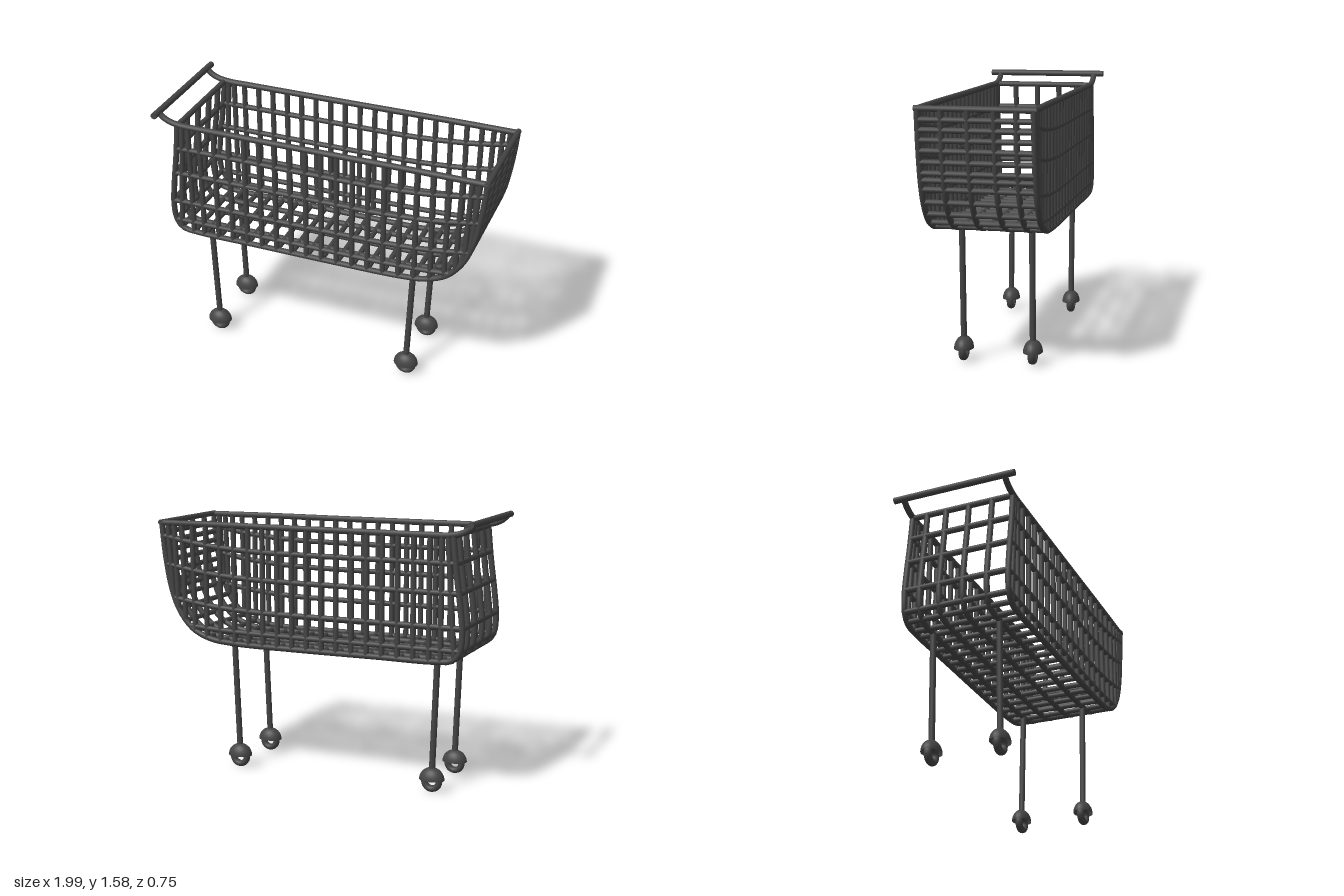
import * as THREE from 'three';

const metal = new THREE.MeshStandardMaterial({ color: 0x444444 });
const shell = new THREE.MeshStandardMaterial({ color: 0x444444, side: THREE.DoubleSide });
const R = 0.017;        // wire radius
const SIDE = 0.314;     // z of the two side panels
const RIM = 1.49;       // height of the top rail
const V = (x, y, z = 0) => new THREE.Vector3(x, y, z);

export function createModel() {
  const root = new THREE.Group();

  const group = (name) => {
    const g = new THREE.Group();
    g.name = name;
    root.add(g);
    return g;
  };

  // Straight rod between two points
  const rod = (parent, name, a, b, r = R) => {
    const dir = b.clone().sub(a);
    const m = new THREE.Mesh(new THREE.CylinderGeometry(r, r, dir.length(), 10), metal);
    m.name = name;
    m.position.copy(a).add(b).multiplyScalar(0.5);
    m.quaternion.setFromUnitVectors(V(0, 1), dir.normalize());
    parent.add(m);
  };

  // Bent wire through points, kept in the plane z, with closed ends
  const wire = (parent, name, pts, z, r = R, segments = 90) => {
    const curve = new THREE.CatmullRomCurve3(pts.map(([x, y]) => V(x, y, z)));
    const m = new THREE.Mesh(new THREE.TubeGeometry(curve, segments, r, 10), metal);
    m.name = name;
    parent.add(m);
    for (const t of [0, 1]) {
      const cap = new THREE.Mesh(new THREE.CircleGeometry(r, 10), metal);
      cap.name = name + 'Cap';
      cap.position.copy(curve.getPoint(t));
      const out = curve.getTangent(t).multiplyScalar(t ? 1 : -1);
      cap.quaternion.setFromUnitVectors(V(0, 0, 1), out);
      parent.add(cap);
    }
  };

  // Lengthwise outline of the basket: down the back, along the floor, up the front
  const outline = [
    [-0.865, RIM], [-0.885, 1.3], [-0.912, 1.1], [-0.925, 0.95], [-0.912, 0.85],
    [-0.87, 0.8], [-0.78, 0.787], [-0.4, 0.785], [0.1, 0.783], [0.5, 0.787],
    [0.66, 0.805], [0.78, 0.86], [0.87, 0.97], [0.92, 1.1], [0.95, 1.25], [0.967, 1.38], [0.977, RIM],
  ];
  const samples = new THREE.CatmullRomCurve3(outline.map(([x, y]) => V(x, y))).getSpacedPoints(600);
  const nearest = (list, f) => list.reduce((a, b) => (f(b) < f(a) ? b : a));
  const floorY = (x) => nearest(samples.filter((p) => p.x > 0 || p.y < 0.83), (p) => Math.abs(p.x - x)).y;
  const endX = (y, s) => nearest(samples.filter((p) => p.x * s > 0.6), (p) => Math.abs(p.y - y)).x;

  // Lengthwise wires: two frame edges and four inner wires
  const frame = group('basketFrame');
  for (const z of [-SIDE, SIDE]) wire(frame, 'sideEdge', outline, z, R);
  for (const z of [-0.22, -0.1, 0.043, 0.187]) wire(frame, 'lengthwiseWire', outline, z, R);

  // Top rails that sweep up to the handle
  const rails = group('topRails');
  const railPath = [[-0.982, 1.557], [-0.955, 1.53], [-0.91, 1.507], [-0.84, 1.494],
    [-0.7, 1.492], [0, RIM], [0.6, RIM], [0.982, 1.487]];
  for (const z of [-SIDE, SIDE]) wire(rails, 'sideRail', railPath, z, 0.018);
  const cross = (parent, name, x, y, r = R, half = SIDE) =>
    rod(parent, name, V(x, y, -half), V(x, y, half), r);
  cross(rails, 'frontRail', 0.977, RIM, R, 0.33);
  cross(rails, 'backRail', -0.865, RIM);
  cross(group('handle'), 'handleBar', -0.98, 1.557, 0.019, 0.375);

  // Upright ribs on both sides, each joined by a bar across the floor
  const ribs = group('sideRibs');
  const floor = group('floorBars');
  const ribList = [[-0.835, -0.88], [-0.8, -0.8]];           // [top x, bottom x]
  for (let i = -9; i <= 6; i++) ribList.push([0.115 + 0.094 * i, 0.115 + 0.094 * i]);
  ribList.push([0.77, 0.76], [0.84, 0.825], [0.893, 0.872], [0.937, 0.905]);
  for (const [top, low] of ribList) {
    const y = floorY(low);
    for (const z of [-SIDE, SIDE]) rod(ribs, 'rib', V(top, RIM, z), V(low, y, z), 0.016);
    cross(floor, 'floorBar', low, y, 0.016);
  }

  // Horizontal side wires that rise toward the front, and bars across the back
  const levels = group('sideLevels');
  const back = group('backBars');
  for (const [y, rise] of [[1.34, 0.07], [1.175, 0.065], [0.983, 0.055], [0.854, 0.02]]) {
    const xf = endX(y + rise, 1);
    const path = [[endX(y, -1), y], [-0.4, y], [0.1, y], [0.4, y + rise * 0.06],
      [0.4 + (xf - 0.4) * 0.55, y + rise * 0.4], [xf, y + rise]];
    for (const z of [-SIDE, SIDE]) wire(levels, 'sideLevel', path, z, 0.016, 50);
    cross(back, 'backBar', endX(y, -1), y);
  }

  // Closely spaced bars across the curved front
  const front = group('frontBars');
  for (const y of [1.43, 1.375, 1.32, 1.262, 1.2, 1.14, 1.1])
    cross(front, 'frontBar', endX(y, 1), y, 0.016);

  // Legs with domed caps and ring wheels
  for (const z of [-0.217, 0.187]) {
    for (const [top, foot] of [[-0.75, -0.727], [0.545, 0.517]]) {
      const leg = group('leg');
      rod(leg, 'legPost', V(top, 0.785, z), V(foot, 0.11, z), 0.018);

      const dome = new THREE.Mesh(
        new THREE.SphereGeometry(1, 24, 10, 0, Math.PI * 2, 0, Math.PI / 2), shell);
      dome.name = 'wheelCover';
      dome.scale.set(0.075, 0.073, 0.056);
      dome.position.set(foot, 0.073, z);
      leg.add(dome);

      const wheel = new THREE.Mesh(new THREE.TorusGeometry(0.044, 0.019, 12, 28), metal);
      wheel.name = 'wheel';
      wheel.scale.z = 1.2;
      wheel.position.set(foot, 0.063, z);
      leg.add(wheel);
    }
  }

  return root;
}
